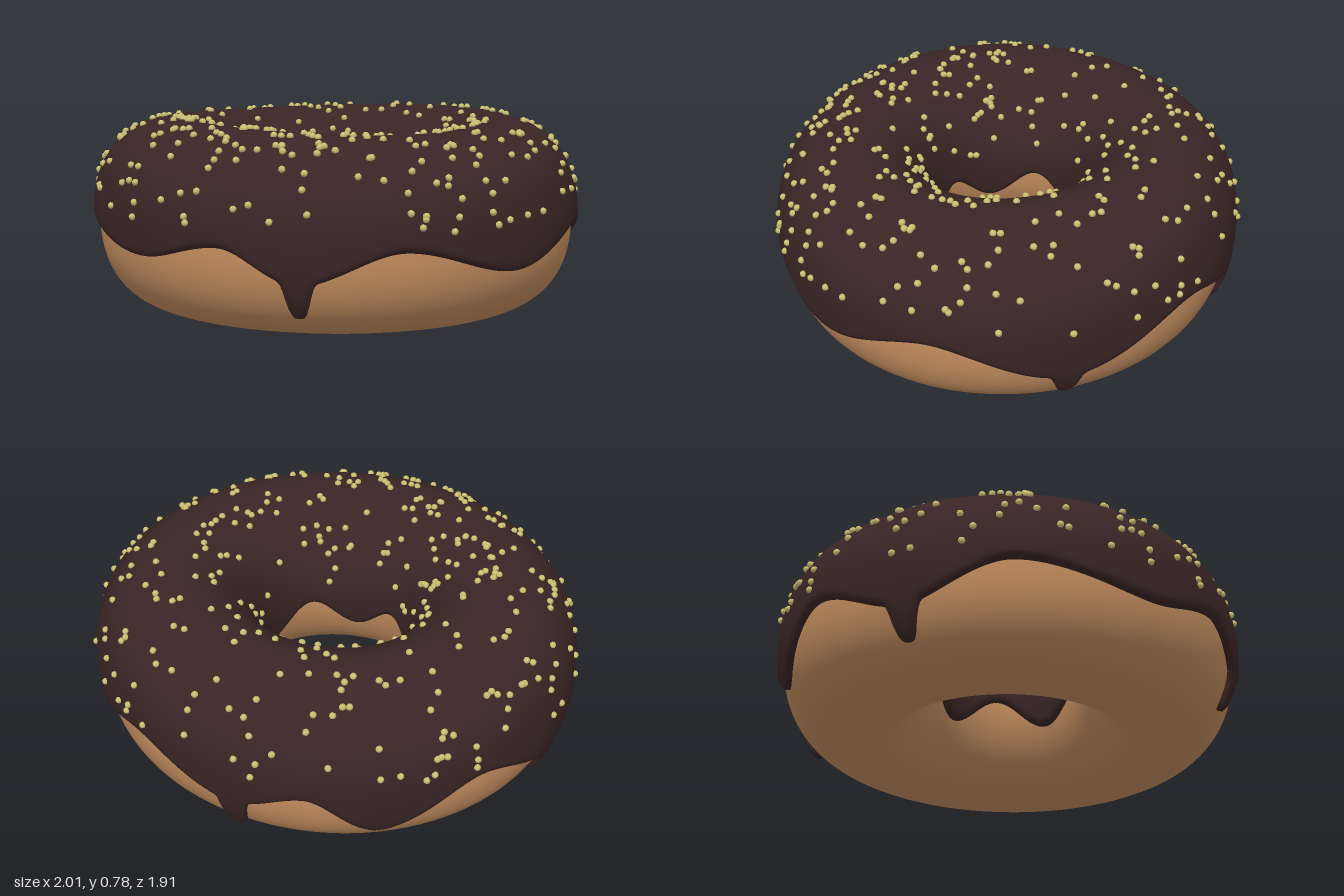
import * as THREE from 'three';
import { mergeGeometries } from 'three/addons/utils/BufferGeometryUtils.js';

const RAD = Math.PI / 180;
const MID = 0.365; // height of the ring's mid line
const THICK = 0.026; // icing thickness

const spow = (v, p) => Math.sign(v) * Math.abs(v) ** p;

// Point on the ring: t runs around (0 = front), p around the section (0 = outside, 90 deg = top)
function ringPoint(t, p, off = 0) {
  const c2 = Math.cos(t) ** 2;
  const mid = 0.65 - 0.0325 * c2;
  const n = Math.cos(p) > 0 ? 2.3 : 2; // squarer outside, rounder hole
  const top = Math.sin(p) > 0 ? 0.011 * Math.cos(2 * t + Math.PI / 2) : 0;
  const r = mid + (0.325 - 0.022 * c2 + off) * spow(Math.cos(p), 2 / n);
  const y = MID + (MID + top + off) * spow(Math.sin(p), 2 / n);
  return new THREE.Vector3(r * Math.sin(t), y, r * Math.cos(t));
}

// Smooth indexed grid, wrapped around the ring and, if asked, around the section
function grid(nu, nv, wrapV, point) {
  const pos = [], index = [];
  const rows = wrapV ? nv : nv + 1;
  for (let i = 0; i < nu; i++)
    for (let j = 0; j < rows; j++) pos.push(...point(i, j).toArray());
  for (let i = 0; i < nu; i++)
    for (let j = 0; j < nv; j++) {
      const i2 = (i + 1) % nu, j2 = (j + 1) % rows;
      const a = i * rows + j, b = i2 * rows + j, c = i2 * rows + j2, d = i * rows + j2;
      index.push(a, b, c, a, c, d);
    }
  const g = new THREE.BufferGeometry();
  g.setAttribute('position', new THREE.Float32BufferAttribute(pos, 3));
  g.setIndex(index);
  g.computeVertexNormals();
  return g;
}

// Crests and troughs of the outer icing edge: [degrees, height]
const WAVES = [[3.5, 0.23], [28, 0.35], [57, 0.245], [86, 0.355], [117, 0.21], [150, 0.36],
  [178, 0.25], [196, 0.335], [213, 0.17], [238, 0.35], [263, 0.22], [288, 0.36],
  [321, 0.285], [344, 0.355], [363.5, 0.23]];
// Narrow drips: [degrees, extra depth]
const DRIPS = [[3.5, 0.125], [117, 0.09], [178, 0.16], [263, 0.12]];

function outerEdge(deg) {
  const d = deg < 3.5 ? deg + 360 : deg;
  let k = 0;
  while (k < WAVES.length - 2 && d > WAVES[k + 1][0]) k++;
  const [d0, y0] = WAVES[k], [d1, y1] = WAVES[k + 1];
  let y = y0 + (y1 - y0) * THREE.MathUtils.smoothstep(d, d0, d1);
  for (const [c, depth] of DRIPS) {
    const off = ((deg - c + 540) % 360) - 180;
    y -= depth * Math.exp(-((off / 3.1) ** 4));
  }
  return y;
}
const innerEdge = (deg) => 0.3 + 0.058 * Math.cos(5 * (deg - 331.5) * RAD);

function icingGeometry() {
  const NU = 600, NV = 56, LIP = 0.035;
  const edges = [];
  for (let i = 0; i < NU; i++) {
    const deg = (i * 360) / NU, t = deg * RAD;
    const po = Math.asin(spow((outerEdge(deg) - MID) / MID, 1.15));
    const pi = Math.PI - Math.asin((innerEdge(deg) - MID) / MID);
    edges.push({ t, po, pi, a: ringPoint(t, po), b: ringPoint(t, pi) });
  }
  return grid(NU, NV, false, (i, j) => {
    const e = edges[i];
    // rows crowd towards both edges to round the lip
    const s = j / NV, u = 0.35 * s + 0.65 * (0.5 - 0.5 * Math.cos(Math.PI * s));
    const p = e.po + (e.pi - e.po) * u;
    const base = ringPoint(e.t, p);
    let dist = LIP;
    for (let k = -9; k <= 9; k++) {
      const q = edges[(i + k + NU) % NU];
      dist = Math.min(dist, base.distanceTo(q.a), base.distanceTo(q.b));
    }
    const lift = Math.sqrt(1 - (1 - dist / LIP) ** 2);
    return ringPoint(e.t, p, -0.003 + (THICK + 0.003) * lift);
  });
}

// Small seeded generator for scattering
function seeded(seed) {
  return () => {
    seed = (seed * 1664525 + 1013904223) % 4294967296;
    return seed / 4294967296;
  };
}

function sprinkleGeometry() {
  const rnd = seeded(77), balls = [];
  while (balls.length < 400) {
    const t = rnd() * Math.PI * 2, p = (6 + 162 * rnd()) * RAD;
    const at = ringPoint(t, p, THICK + 0.003);
    // even by area, thinner at the back and low on the sides
    const keep = Math.hypot(at.x, at.z) * (0.72 - 0.28 * Math.cos(t - Math.PI)) * (0.4 + 0.6 * Math.sin(p));
    if (rnd() > keep) continue;
    const ball = new THREE.SphereGeometry(0.014, 7, 5);
    ball.rotateX(rnd() * 3).rotateZ(rnd() * 3).translate(at.x, at.y, at.z);
    balls.push(ball);
  }
  return mergeGeometries(balls);
}

export function createModel() {
  const material = (name, color) => Object.assign(new THREE.MeshStandardMaterial({ color }), { name });
  const group = new THREE.Group();
  group.name = 'doughnut';
  const add = (name, geometry, mat) => {
    const mesh = new THREE.Mesh(geometry, mat);
    mesh.name = name;
    group.add(mesh);
  };

  // Baked ring
  add('dough', grid(160, 64, true, (i, j) =>
    ringPoint((i / 160) * Math.PI * 2, (j / 64) * Math.PI * 2)), material('bakedDough', 0xc68f60));
  // Dripping glaze over the top
  add('icing', icingGeometry(), material('chocolateIcing', 0x3a2525));
  // Scattered sugar balls
  add('sprinkles', sprinkleGeometry(), material('paleYellowSprinkle', 0xcdc272));
  return group;
}
